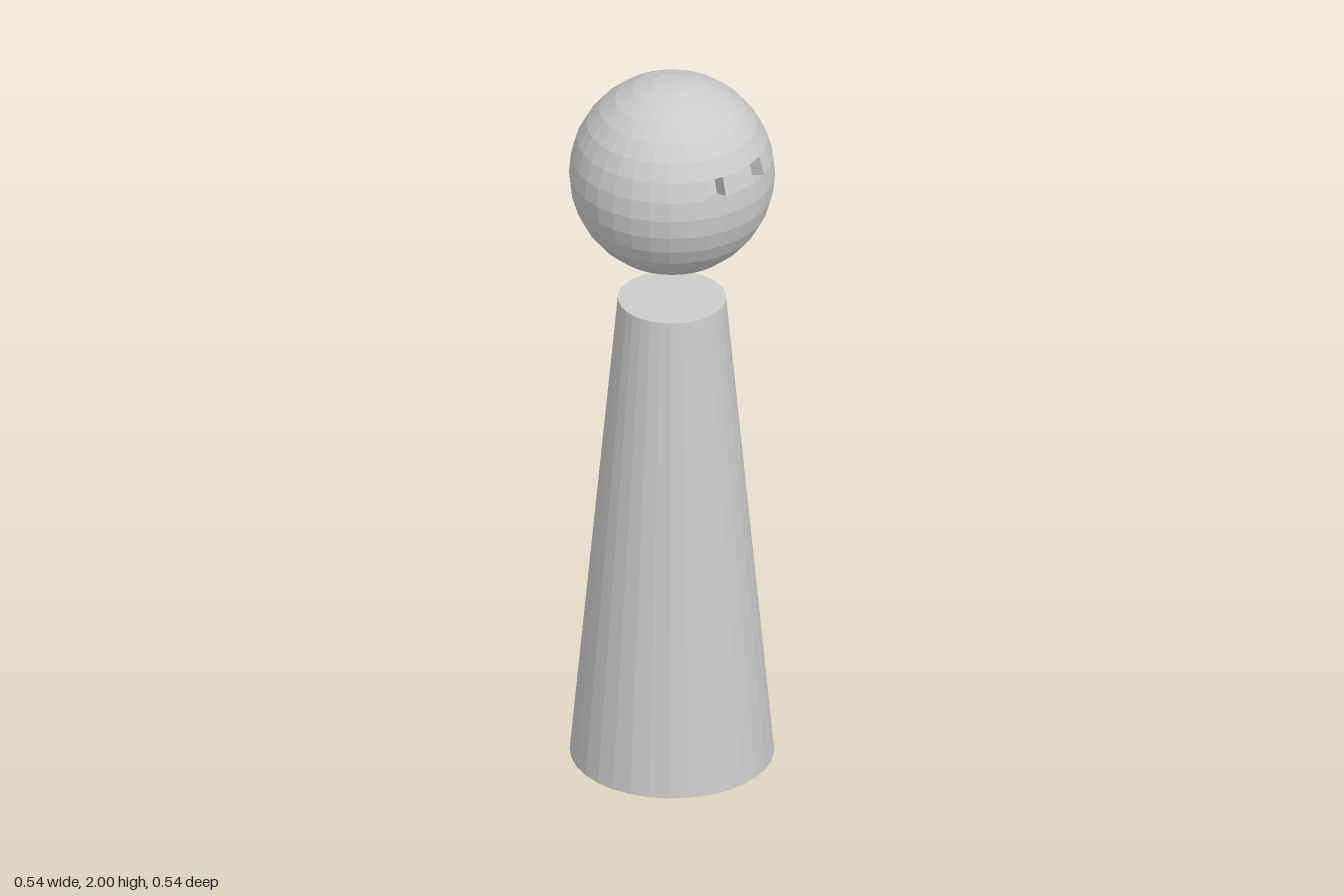
import * as THREE from 'three';

const SIDES = 32, RINGS = 16;
const HEAD_RADIUS = 0.27, EYE_DEPTH = 0.055;
const EYE_ROW = 6, EYE_COLUMNS = [6, 9];

const material = new THREE.MeshStandardMaterial({ color: 0xcccccc, flatShading: true });

function part(name, geometry, y) {
  const mesh = new THREE.Mesh(geometry, material);
  mesh.name = name;
  mesh.position.y = y;
  return mesh;
}

// Faceted ball with one facet opened for each eye
function headGeometry() {
  const ball = new THREE.SphereGeometry(HEAD_RADIUS, SIDES, RINGS);
  const index = Array.from(ball.index.array);
  for (const column of [...EYE_COLUMNS].reverse()) {
    const triangle = SIDES + (EYE_ROW - 1) * SIDES * 2 + column * 2;
    index.splice(triangle * 3, 6);
  }
  ball.setIndex(index);
  return ball;
}

// Socket: the missing facet pushed inward, joined to its rim by four walls
function socketGeometry(column) {
  const corner = (row, col) => new THREE.Vector3().setFromSphericalCoords(
    HEAD_RADIUS, row * Math.PI / RINGS, col * Math.PI * 2 / SIDES - Math.PI / 2);
  const rim = [
    corner(EYE_ROW, column + 1), corner(EYE_ROW, column),
    corner(EYE_ROW + 1, column), corner(EYE_ROW + 1, column + 1),
  ];
  const inward = rim.reduce((sum, p) => sum.add(p), new THREE.Vector3()).setLength(-EYE_DEPTH);
  const back = rim.map((p) => p.clone().add(inward));
  const points = [];
  const quad = (a, b, c, d) => points.push(a, b, d, b, c, d);
  quad(...back);
  for (let i = 0; i < 4; i++) {
    const j = (i + 1) % 4;
    quad(rim[i], rim[j], back[j], back[i]);
  }
  const geometry = new THREE.BufferGeometry().setFromPoints(points);
  geometry.computeVertexNormals();
  return geometry;
}

export function createModel() {
  const model = new THREE.Group();
  model.name = 'figure';

  // Tapered body
  const height = 1.355;
  model.add(part('body', new THREE.CylinderGeometry(0.142, 0.268, height, SIDES), height / 2));

  // Floating head with recessed eyes
  const head = new THREE.Group();
  head.name = 'head';
  head.position.y = 2 - HEAD_RADIUS;
  head.add(part('skull', headGeometry(), 0));
  EYE_COLUMNS.forEach((column, i) => {
    head.add(part(i ? 'leftEyeSocket' : 'rightEyeSocket', socketGeometry(column), 0));
  });
  model.add(head);

  return model;
}
